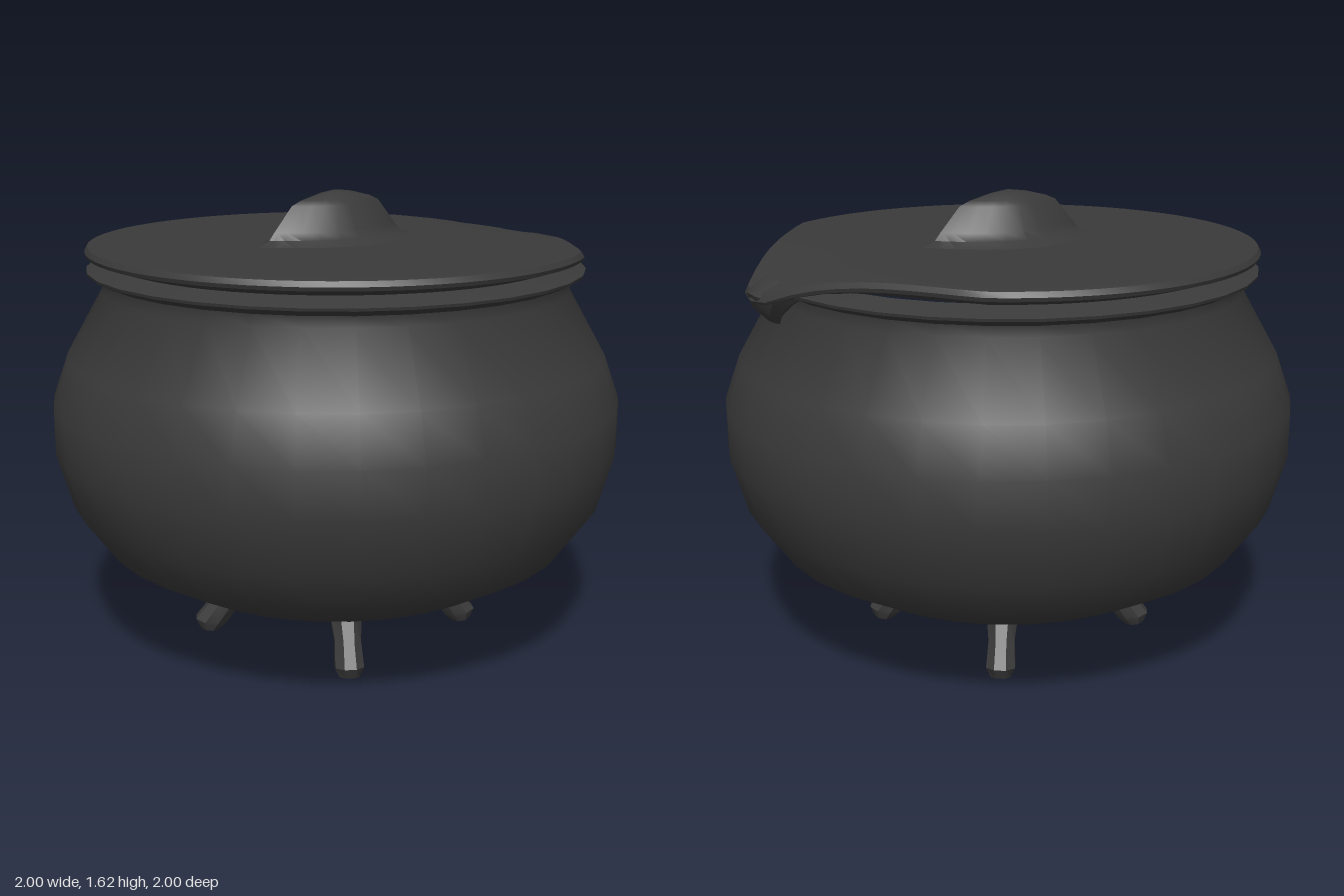
import * as THREE from 'three';
import { toCreasedNormals } from 'three/addons/utils/BufferGeometryUtils.js';

const iron = new THREE.MeshStandardMaterial({ color: 0x3a3a3a });

function part(name, geometry, crease = 0.7) {
  const mesh = new THREE.Mesh(toCreasedNormals(geometry, crease), iron);
  mesh.name = name;
  return mesh;
}

function lathe(points, segments) {
  return new THREE.LatheGeometry(points.map(([r, y]) => new THREE.Vector2(r, y)), segments);
}

// Skin a row of loops, counter-clockwise about the travel direction, with an end cap
function loft(loops) {
  const n = loops[0].length;
  const positions = loops.flat().flatMap((p) => p.toArray());
  const last = loops[loops.length - 1];
  const tip = last.reduce((s, p) => s.add(p), new THREE.Vector3()).divideScalar(n);
  positions.push(...tip.toArray());
  const index = [];
  for (let i = 0; i < loops.length; i++) {
    for (let j = 0; j < n; j++) {
      const a = i * n + j, b = i * n + (j + 1) % n;
      if (i < loops.length - 1) index.push(a, b, a + n, b, b + n, a + n);
      else index.push(a, b, loops.length * n);
    }
  }
  const g = new THREE.BufferGeometry();
  g.setAttribute('position', new THREE.Float32BufferAttribute(positions, 3));
  g.setIndex(index);
  return g;
}

// Limb pointing along +x; each section is [inner x, inner y, outer x, outer y, half width]
function limb(sections) {
  return loft(sections.map(([x0, y0, x1, y1, w]) =>
    Array.from({ length: 8 }, (_, j) => {
      const a = (j + 0.5) * Math.PI / 4, c = Math.cos(a) * 1.08, s = Math.sin(a) * 1.08;
      return new THREE.Vector3((x0 + x1) / 2 + c * (x1 - x0) / 2, (y0 + y1) / 2 + c * (y1 - y0) / 2, s * w);
    })));
}

// Lid disc, drawn out and bent down into a pouring lip at the back
function lidGeometry() {
  const R = 0.865;
  const g = lathe([[0, 1.385], [0.5, 1.385], [0.78, 1.385], [0.865, 1.412], [0.87, 1.425], [0.86, 1.442],
    [0.8, 1.445], [0.7, 1.445], [0.55, 1.445], [0.35, 1.447], [0, 1.45]], 64);
  const p = g.attributes.position;
  for (let i = 0; i < p.count; i++) {
    let x = p.getX(i), z = p.getZ(i);
    const r = Math.hypot(x, z);
    const a = Math.abs(Math.atan2(x, -z));
    if (r > 0 && a < 0.95) {
      const edge = Math.min(0.94, 0.99 / (Math.cos(a) + 0.7 * Math.sin(a)));
      const k = 1 + (edge / R - 1) * (r / R) ** 2;
      x *= k;
      z *= k;
    }
    const t = THREE.MathUtils.clamp((-z - 0.55) / 0.4, 0, 1);
    p.setXYZ(i, x, p.getY(i) - 0.1 * t ** 3, z);
  }
  return g;
}

// Lens-shaped knob; each section is [half width, half length, y]
function knobGeometry() {
  const sections = [[0.22, 0.35, 1.442], [0.14, 0.285, 1.465], [0.108, 0.265, 1.49],
    [0.08, 0.19, 1.575], [0.06, 0.15, 1.592], [0.03, 0.07, 1.612], [0.005, 0.01, 1.62]];
  return loft(sections.map(([a, b, y]) =>
    Array.from({ length: 24 }, (_, j) => {
      const t = j * Math.PI / 12, s = Math.sin(t);
      return new THREE.Vector3(a * s * Math.abs(s), y, b * Math.cos(t));
    })));
}

export function createModel() {
  const model = new THREE.Group();
  model.name = 'cauldron';

  // Round belly, neck and flared rim
  model.add(part('pot', lathe([[0, 0.2], [0.36, 0.205], [0.645, 0.28], [0.83, 0.385], [0.945, 0.545],
    [1, 0.74], [1, 0.905], [0.945, 1.06], [0.815, 1.29], [0.82, 1.33], [0.865, 1.352],
    [0.868, 1.362], [0.85, 1.368], [0.78, 1.388]], 32)));

  model.add(part('lid', lidGeometry(), 0.6));
  model.add(part('lidKnob', knobGeometry(), 0.6));

  // Hooked nose under the pouring lip
  const lip = part('pouringLip', limb([[0.78, 1.34, 0.87, 1.395, 0.14], [0.815, 1.31, 0.945, 1.35, 0.1],
    [0.85, 1.275, 0.93, 1.3, 0.065], [0.855, 1.25, 0.885, 1.255, 0.04]]));
  lip.rotation.y = Math.PI / 2;
  model.add(lip);

  // Four splayed legs
  const legGeometry = limb([[0.12, 0.205, 0.42, 0.235, 0.09], [0.27, 0.17, 0.41, 0.195, 0.055],
    [0.36, 0.1, 0.46, 0.125, 0.045], [0.41, 0.03, 0.52, 0.05, 0.05], [0.44, 0.002, 0.505, 0.012, 0.035]]);
  for (let i = 0; i < 4; i++) {
    const leg = part('leg', legGeometry);
    leg.rotation.y = -0.565 + i * Math.PI / 2;
    model.add(leg);
  }
  return model;
}
